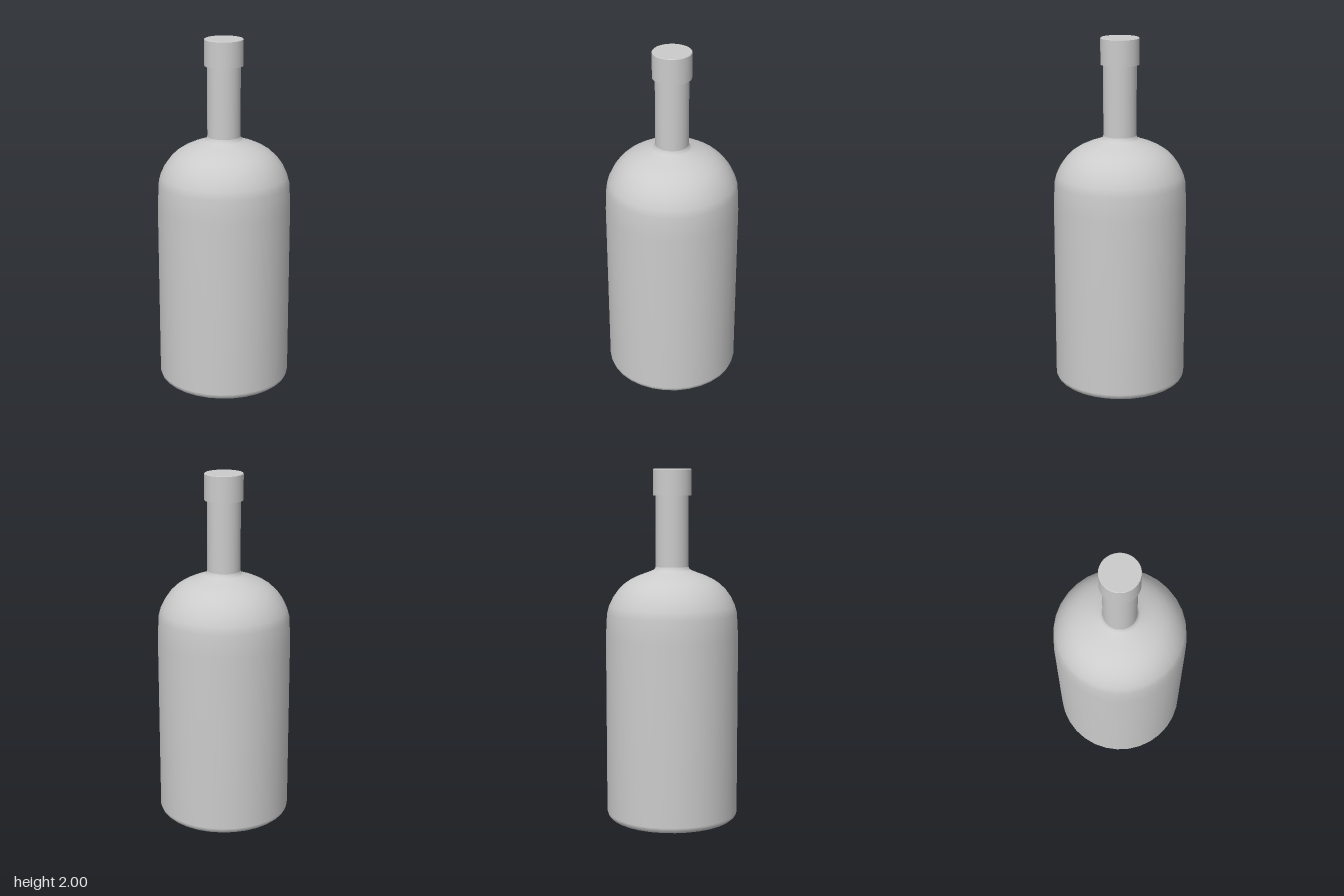
import * as THREE from 'three';

const material = new THREE.MeshStandardMaterial({ color: 0xcccccc });

// Lathe a [radius, height] profile from bottom to top; a repeated point makes a hard edge.
function turned(name, profile, sides) {
  const points = profile.map(([r, y]) => new THREE.Vector2(r, y));
  const mesh = new THREE.Mesh(new THREE.LatheGeometry(points, sides), material);
  mesh.name = name;
  return mesh;
}

export function createModel() {
  const bottle = new THREE.Group();
  bottle.name = 'bottle';

  // Flat base with a small rounded rim, straight wall, domed shoulder
  bottle.add(turned('body', [
    [0, 0], [0.335, 0], [0.335, 0],
    [0.356, 0.005], [0.37, 0.017], [0.377, 0.038],
    [0.377, 1.06], [0.37, 1.19],
    [0.358, 1.234], [0.335, 1.282], [0.305, 1.324], [0.27, 1.358],
    [0.23, 1.384], [0.185, 1.405], [0.14, 1.421], [0.108, 1.434],
    [0.098, 1.442], [0.093, 1.455],
  ], 32));

  // Straight neck rising into the cap
  bottle.add(turned('neck', [[0.093, 1.455], [0.093, 1.86]], 32));

  // Solid cap with sharp edges
  bottle.add(turned('cap', [
    [0, 1.853], [0.108, 1.853], [0.108, 1.853],
    [0.108, 1.997], [0.108, 1.997], [0.105, 2], [0.105, 2], [0, 2],
  ], 48));

  return bottle;
}
